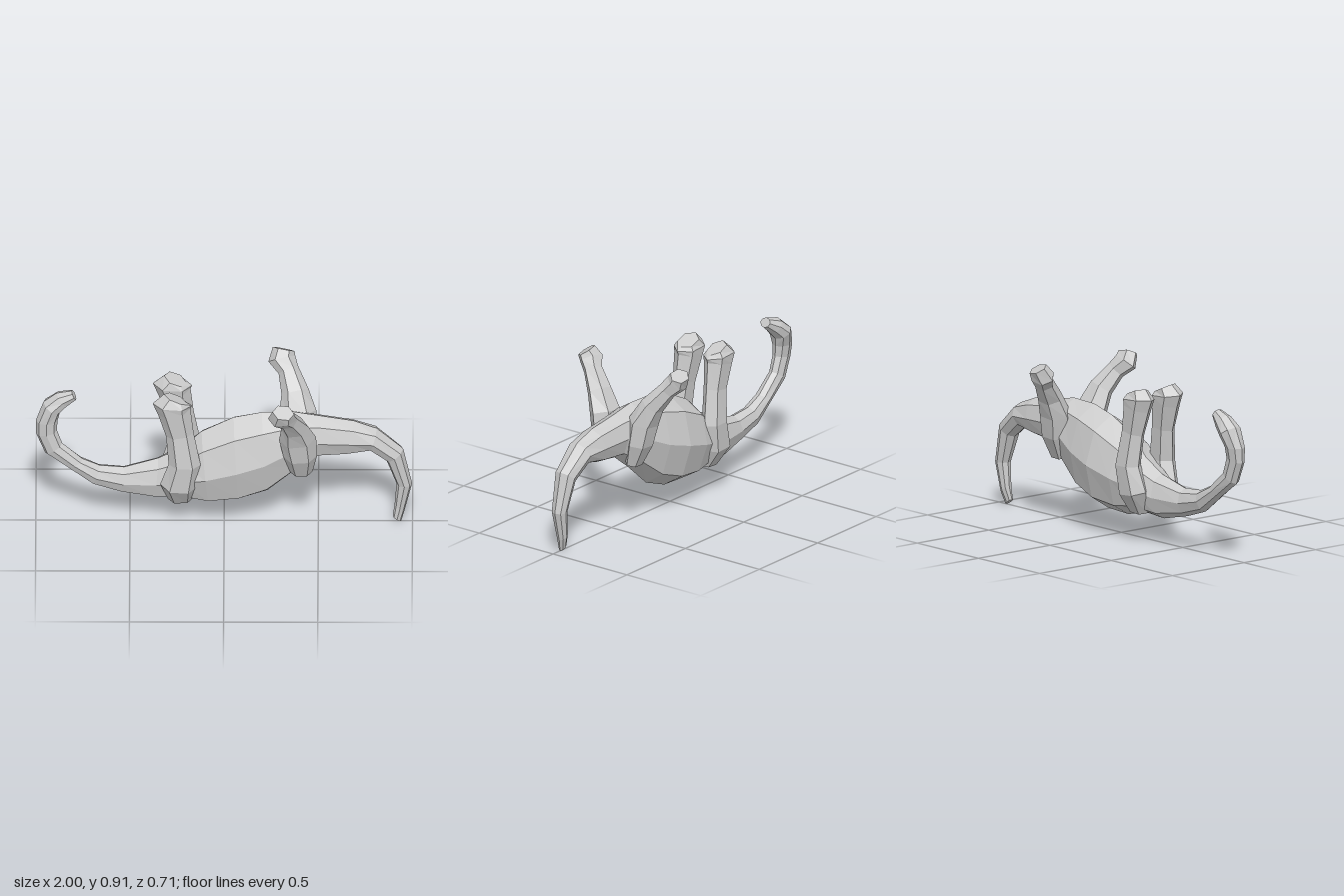
import * as THREE from 'three';

const material = new THREE.MeshStandardMaterial({ color: 0xcccccc, flatShading: true });

// Skin a closed faceted tube over rings given as { c: centre, u, v: half axes }
function loft(name, rings, sides) {
  const pos = [], index = [];
  for (const { c, u, v } of rings) {
    for (let i = 0; i < sides; i++) {
      const a = (i / sides) * Math.PI * 2;
      pos.push(...c.clone().addScaledVector(u, Math.cos(a)).addScaledVector(v, Math.sin(a)).toArray());
    }
  }
  const n = rings.length, first = n * sides, last = first + 1;
  pos.push(...rings[0].c.toArray(), ...rings[n - 1].c.toArray());
  for (let j = 0; j < n; j++) {
    for (let i = 0; i < sides; i++) {
      const k = (i + 1) % sides, a = j * sides + i, b = j * sides + k;
      if (j === 0) index.push(first, b, a);
      if (j === n - 1) index.push(last, a, b);
      else index.push(a, b, b + sides, a, b + sides, a + sides);
    }
  }
  // Turn the faces outward if the enclosed volume comes out negative
  const p = (i) => new THREE.Vector3().fromArray(pos, i * 3);
  let volume = 0;
  for (let i = 0; i < index.length; i += 3) {
    volume += p(index[i]).dot(p(index[i + 1]).cross(p(index[i + 2])));
  }
  if (volume < 0) index.reverse();
  const geometry = new THREE.BufferGeometry();
  geometry.setAttribute('position', new THREE.Float32BufferAttribute(pos, 3));
  geometry.setIndex(index);
  const flat = geometry.toNonIndexed();
  flat.computeVertexNormals();
  const mesh = new THREE.Mesh(flat, material);
  mesh.name = name;
  return mesh;
}

// Trunk sections: belly-side x, y, back-side x, y, half width, z offset
function trunk(name, sections) {
  return loft(name, sections.map(([ax, ay, bx, by, w, z]) => ({
    c: new THREE.Vector3((ax + bx) / 2, (ay + by) / 2, z),
    u: new THREE.Vector3((ax - bx) / 2, (ay - by) / 2, 0),
    v: new THREE.Vector3(0, 0, w),
  })), 8);
}

// Limb stations: x, y, z, half size along x, half size across
function limb(name, stations, side, shift) {
  const pts = stations.map(([x, y, z]) => new THREE.Vector3(x, y, z * side + shift));
  const xAxis = new THREE.Vector3(1, 0, 0);
  return loft(name, stations.map(([, , , rx, r], i) => {
    const t = pts[Math.min(i + 1, pts.length - 1)].clone().sub(pts[Math.max(i - 1, 0)]);
    t.normalize();
    return {
      c: pts[i],
      u: xAxis.clone().addScaledVector(t, -t.x).multiplyScalar(rx),
      v: xAxis.clone().cross(t).normalize().multiplyScalar(r),
    };
  }), 6);
}

export function createModel() {
  const model = new THREE.Group();
  model.name = 'upturnedLongNeckedAnimal';

  // Tail, belly and neck form one continuous skin, from tail tip to snout
  model.add(trunk('bodyNeckAndTail', [
    [0.895, 0.03, 0.94, 0.0, 0.018, 0.0],
    [0.905, 0.1, 0.96, 0.07, 0.03, -0.01],
    [0.915, 0.23, 0.998, 0.23, 0.042, -0.01],
    [0.86, 0.38, 0.95, 0.45, 0.06, -0.01],
    [0.77, 0.45, 0.81, 0.575, 0.075, -0.012],
    [0.64, 0.42, 0.69, 0.62, 0.085, -0.015],
    [0.5, 0.405, 0.5, 0.65, 0.095, -0.02],
    [0.39, 0.32, 0.36, 0.675, 0.12, -0.02],
    [0.23, 0.18, 0.2, 0.67, 0.155, -0.02],
    [0.08, 0.125, 0.05, 0.635, 0.17, -0.025],
    [-0.08, 0.115, -0.12, 0.55, 0.155, -0.02],
    [-0.22, 0.15, -0.22, 0.45, 0.125, -0.02],
    [-0.37, 0.14, -0.35, 0.38, 0.085, -0.02],
    [-0.55, 0.18, -0.53, 0.33, 0.06, -0.01],
    [-0.7, 0.23, -0.66, 0.34, 0.052, -0.01],
    [-0.84, 0.34, -0.75, 0.38, 0.045, -0.01],
    [-0.95, 0.42, -0.86, 0.48, 0.04, -0.01],
    [-0.998, 0.54, -0.888, 0.56, 0.042, -0.01],
    [-1.0, 0.62, -0.885, 0.62, 0.05, -0.015],
    [-0.96, 0.73, -0.87, 0.67, 0.065, -0.025],
    [-0.89, 0.785, -0.83, 0.71, 0.05, -0.025],
    [-0.81, 0.805, -0.785, 0.755, 0.032, -0.015],
  ]));

  for (const [side, label] of [[1, 'left'], [-1, 'right']]) {
    // Slim forelegs rise almost straight from the shoulders
    model.add(limb(label + 'Foreleg', [
      [-0.23, 0.17, 0.06, 0.07, 0.04],
      [-0.24, 0.28, 0.105, 0.1, 0.07],
      [-0.21, 0.42, 0.12, 0.085, 0.06],
      [-0.235, 0.6, 0.105, 0.075, 0.055],
      [-0.265, 0.74, 0.1, 0.09, 0.07],
      [-0.275, 0.785, 0.1, 0.105, 0.075],
      [-0.26, 0.82, 0.095, 0.07, 0.055],
    ], side, -0.015));

    // Hind legs splay outward from heavy thighs
    model.add(limb(label + 'HindLeg', [
      [0.41, 0.36, 0.08, 0.06, 0.04],
      [0.405, 0.48, 0.115, 0.09, 0.065],
      [0.39, 0.6, 0.13, 0.1, 0.075],
      [0.375, 0.7, 0.18, 0.075, 0.062],
      [0.34, 0.79, 0.25, 0.06, 0.05],
      [0.305, 0.835, 0.29, 0.075, 0.058],
      [0.315, 0.88, 0.315, 0.06, 0.048],
    ], side, 0));
  }
  return model;
}
